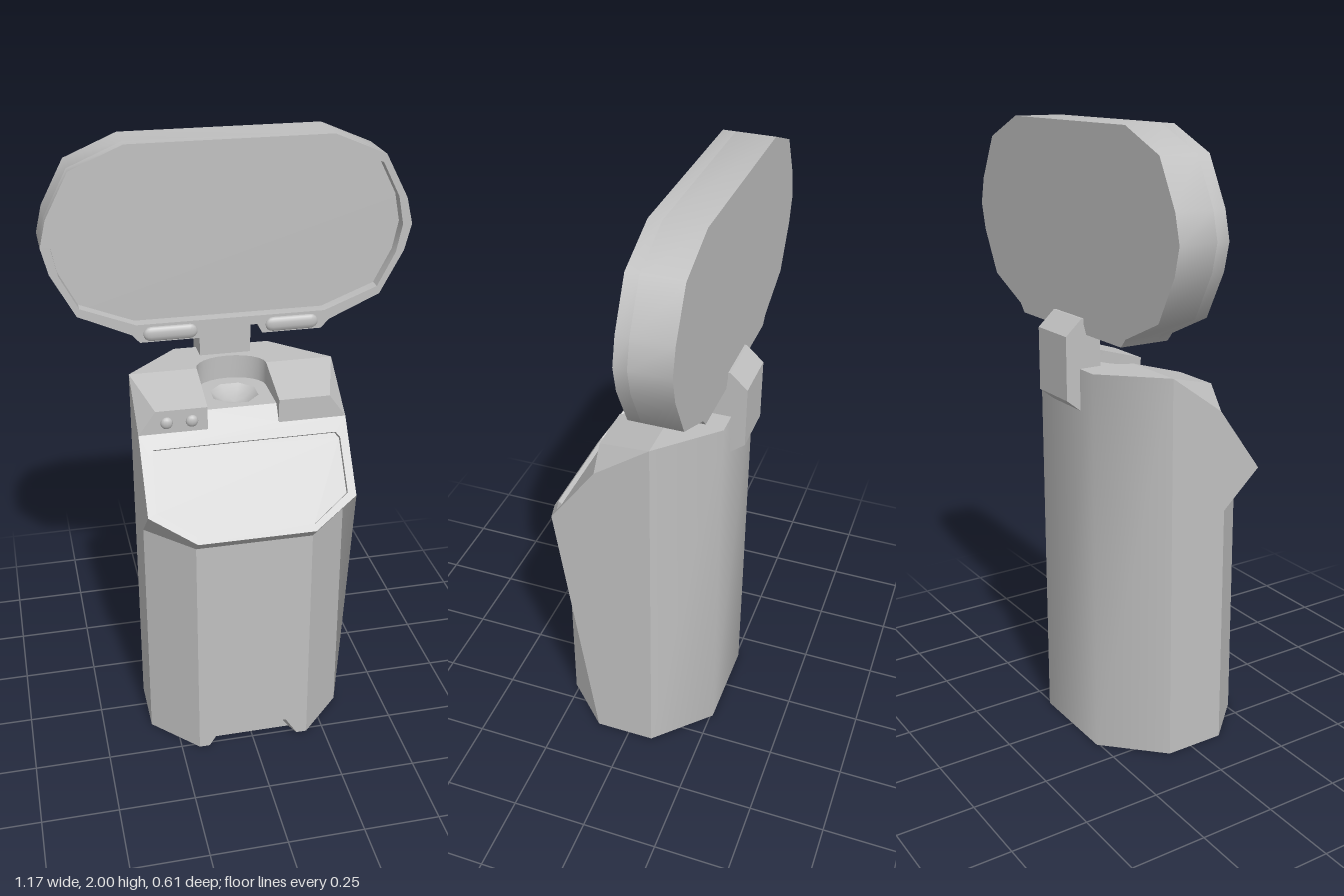
import * as THREE from 'three';
import { toCreasedNormals } from 'three/addons/utils/BufferGeometryUtils.js';

const grey = new THREE.MeshStandardMaterial({ color: 0xc0c0c0, side: THREE.DoubleSide });
grey.name = 'light grey';

const mirrorX = (pts) => pts.map(([x, ...r]) => [-x, ...r]).reverse();
const toShape = (pts) => new THREE.Shape(pts.map(([x, y]) => new THREE.Vector2(x, y)));

// Quads between two matching rows of points
function strip(a, b, { closed = false, smooth = false } = {}) {
  const n = a.length, index = [];
  for (let i = 0; i < (closed ? n : n - 1); i++) {
    const j = (i + 1) % n;
    index.push(i, j, n + j, i, n + j, n + i);
  }
  let g = new THREE.BufferGeometry();
  g.setAttribute('position', new THREE.Float32BufferAttribute([...a, ...b].flat(), 3));
  g.setIndex(index);
  if (!smooth) g = g.toNonIndexed();
  g.computeVertexNormals();
  return g;
}

// Flat convex face from corners in 3D, counter-clockwise from outside
function face(pts) {
  const index = [];
  for (let i = 1; i < pts.length - 1; i++) index.push(0, i, i + 1);
  const g = new THREE.BufferGeometry();
  g.setAttribute('position', new THREE.Float32BufferAttribute(pts.flat(), 3));
  g.setIndex(index);
  g.computeVertexNormals();
  return g;
}

// Flat outline (with optional hole) whose points are moved into place by a rule
function sheet(pts, rule, hole) {
  const shape = toShape(pts);
  if (hole) shape.holes.push(toShape(hole));
  const g = new THREE.ShapeGeometry(shape), p = g.attributes.position;
  for (let i = 0; i < p.count; i++) p.setXYZ(i, ...rule(p.getX(i), p.getY(i)));
  g.computeVertexNormals();
  return g;
}

export function createModel() {
  const root = new THREE.Group();
  root.name = 'kiosk';
  const add = (name, geometry, parent = root) => {
    const m = new THREE.Mesh(geometry, grey);
    m.name = name;
    parent.add(m);
    return m;
  };
  const group = (name) => {
    const g = new THREE.Group();
    g.name = name;
    root.add(g);
    return g;
  };

  const W = 0.335, F = 0.19, C = 0.115;      // half widths: body, front panel, channel
  const floorY = 1.19, topY = 1.27, backZ = -0.085;
  const slopeZ = (y) => 0.305 - (y - 0.85) * 0.724;
  const onSlope = (x, y) => [x, y, slopeZ(y)];
  const roofY = (z) => (z <= backZ ? topY : topY - (z - backZ) * 0.053 / 0.18);

  // Front panel with a bevelled toe notch
  const body = group('body');
  const notchOut = [[-0.155, 0], [-0.115, 0.065], [0.115, 0.065], [0.155, 0]];
  const notchIn = [[-0.135, 0], [-0.1, 0.05], [0.1, 0.05], [0.135, 0]];
  const at = (pts, z) => pts.map(([x, y]) => [x, y, z]);
  add('frontPanel', sheet([[-F, 0], ...notchOut, [F, 0], [F, 0.81], [-F, 0.81]],
    (x, y) => [x, y, 0.265]), body);
  add('toeNotchBevel', strip(at(notchOut, 0.265), at(notchIn, 0.225)), body);
  add('toeNotchPanel', face(at(notchIn, 0.225).reverse()), body);

  // Side walls, chamfers and head facets, mirrored
  const sideFaces = {
    chamfer: [[F, 0, 0.265], [W, 0, 0.115], [W, 0.81, 0.115], [F, 0.81, 0.265]],
    side: [[W, 0, 0.115], [W, 0, backZ], [W, topY, backZ], [W, 1.14, 0.095],
      [W, 0.93, slopeZ(0.93)], [W, 0.81, 0.115]],
    headUnderside: [[F, 0.81, 0.265], [W, 0.81, 0.115], [W, 0.93, slopeZ(0.93)], [F, 0.85, 0.305]],
    cornerFacet: [[W, 1.14, 0.095], [W, topY, backZ], [0.28, 1.217, 0.095]],
    brow: [[C, 1.14, 0.095], [W, 1.14, 0.095], [0.28, 1.217, 0.095], [C, 1.217, 0.095]],
    topSlope: [[C, 1.217, 0.095], [0.28, 1.217, 0.095], [W, topY, backZ], [C, topY, backZ]],
  };
  for (const [name, pts] of Object.entries(sideFaces)) {
    add(name + 'Left', face(pts), body);
    add(name + 'Right', face(mirrorX(pts)), body);
  }
  add('headLip', face([[-F, 0.81, 0.265], [F, 0.81, 0.265], [F, 0.85, 0.305], [-F, 0.85, 0.305]]), body);

  // Rounded back
  const back = [[W, backZ], [0.16, -0.258], [-0.16, -0.258], [-W, backZ]];
  add('back', strip(back.map(([x, z]) => [x, 0, z]), back.map(([x, z]) => [x, topY, z]),
    { smooth: true }), body);

  // Flat top behind the channel
  const arc = [];
  for (let i = 0; i <= 12; i++) {
    const a = Math.PI * (1 - i / 12);
    arc.push([C * Math.cos(a), backZ - 0.08 * Math.sin(a)]);
  }
  add('topRear', sheet([...back, ...arc].map(([x, z]) => [x, -z]), (x, v) => [x, topY, -v]), body);

  // Sloping head front with a sunken screen
  const halfScreen = [[F, 0.87], [0.308, 0.94], [0.308, 1.085], [0.295, 1.1]];
  const screen = [...halfScreen, ...mirrorX(halfScreen)];
  const sunk = (x, y) => [x, y - 0.015 * 0.587, slopeZ(y) - 0.015 * 0.81];
  const halfHead = [[F, 0.85], [W, 0.93], [W, 1.14], [C, 1.14], [C, floorY]];
  add('headFront', sheet([...halfHead, ...mirrorX(halfHead)], onSlope, screen), body);
  add('screenEdge', strip(screen.map((p) => onSlope(...p)), screen.map((p) => sunk(...p)),
    { closed: true }), body);
  add('screen', sheet(screen, sunk), body);

  // Channel in the top, with a round dish in its floor
  const channel = group('channel');
  const lipZ = slopeZ(floorY);
  const wall = [[-C, lipZ], ...arc, [C, lipZ]];
  add('channelWall', toCreasedNormals(strip(wall.map(([x, z]) => [x, floorY, z]),
    wall.map(([x, z]) => [x, roofY(z), z])), 0.7), channel);
  const cheek = [[C, 1.14, 0.095], [C, 1.217, 0.095], [C, roofY(lipZ), lipZ], [C, floorY, lipZ]];
  add('cheekLeft', face(cheek), channel);
  add('cheekRight', face(mirrorX(cheek)), channel);
  const dishZ = -0.045, ring = [];
  for (let i = 0; i < 8; i++) {
    const a = (i + 0.5) * Math.PI / 4;
    ring.push([0.08 * Math.cos(a), 0.08 * Math.sin(a) - dishZ]);
  }
  add('channelFloor', sheet(wall.map(([x, z]) => [x, -z]).reverse(),
    (x, v) => [x, floorY, -v], ring), channel);
  const dish = new THREE.LatheGeometry([[0, -0.035], [0.035, -0.03], [0.062, -0.015], [0.08, 0]]
    .map(([r, y]) => new THREE.Vector2(r, y)), 8, Math.PI / 8);
  add('dish', dish, channel).position.set(0, floorY, dishZ);

  // Two round buttons on the brow
  for (const x of [-0.245, -0.165]) {
    const b = add('button', new THREE.SphereGeometry(0.02, 12, 8));
    b.position.set(x, 1.175, 0.095);
    b.scale.z = 0.6;
  }

  // Hinge arm at the back
  const arm = new THREE.ExtrudeGeometry(toShape([[0.185, 1.135], [0.255, 1.135], [0.305, 1.175],
    [0.305, 1.375], [0.25, 1.425], [0.185, 1.425]]), { depth: 0.17, bevelEnabled: false });
  arm.rotateY(Math.PI / 2);
  add('hingeArm', arm.translate(-0.085, 0, 0));

  // Raised oval lid: solid back plus a rim around a shallow recess
  const lid = group('lid');
  const halfLid = [[0.085, 1.408], [0.1, 1.377], [0.295, 1.377], [0.32, 1.405], [0.487, 1.48],
    [0.562, 1.62], [0.583, 1.705], [0.562, 1.79], [0.487, 1.93], [0.32, 2]];
  const halfRecess = [[0.305, 1.437], [0.478, 1.505], [0.535, 1.615], [0.553, 1.705],
    [0.535, 1.795], [0.478, 1.905], [0.305, 1.97]];
  const outline = [...halfLid, ...mirrorX(halfLid)];
  const recess = [...halfRecess, ...mirrorX(halfRecess)];
  const slab = (name, z, depth, hole) => {
    const s = toShape(outline);
    if (hole) s.holes.push(toShape(hole));
    const g = new THREE.ExtrudeGeometry(s, { depth, bevelEnabled: false });
    add(name, toCreasedNormals(g.translate(0, 0, z), 0.7), lid);
  };
  slab('lidBack', -0.243, 0.123);
  slab('lidRim', -0.12, 0.04, recess);

  // Soft pads on the lower rim
  for (const s of [-1, 1]) {
    const pad = add('lidPad', new THREE.CapsuleGeometry(0.024, 0.125, 4, 10).rotateZ(Math.PI / 2), lid);
    pad.position.set(s * 0.197, 1.404, -0.08);
    pad.scale.z = 0.45;
  }
  return root;
}
